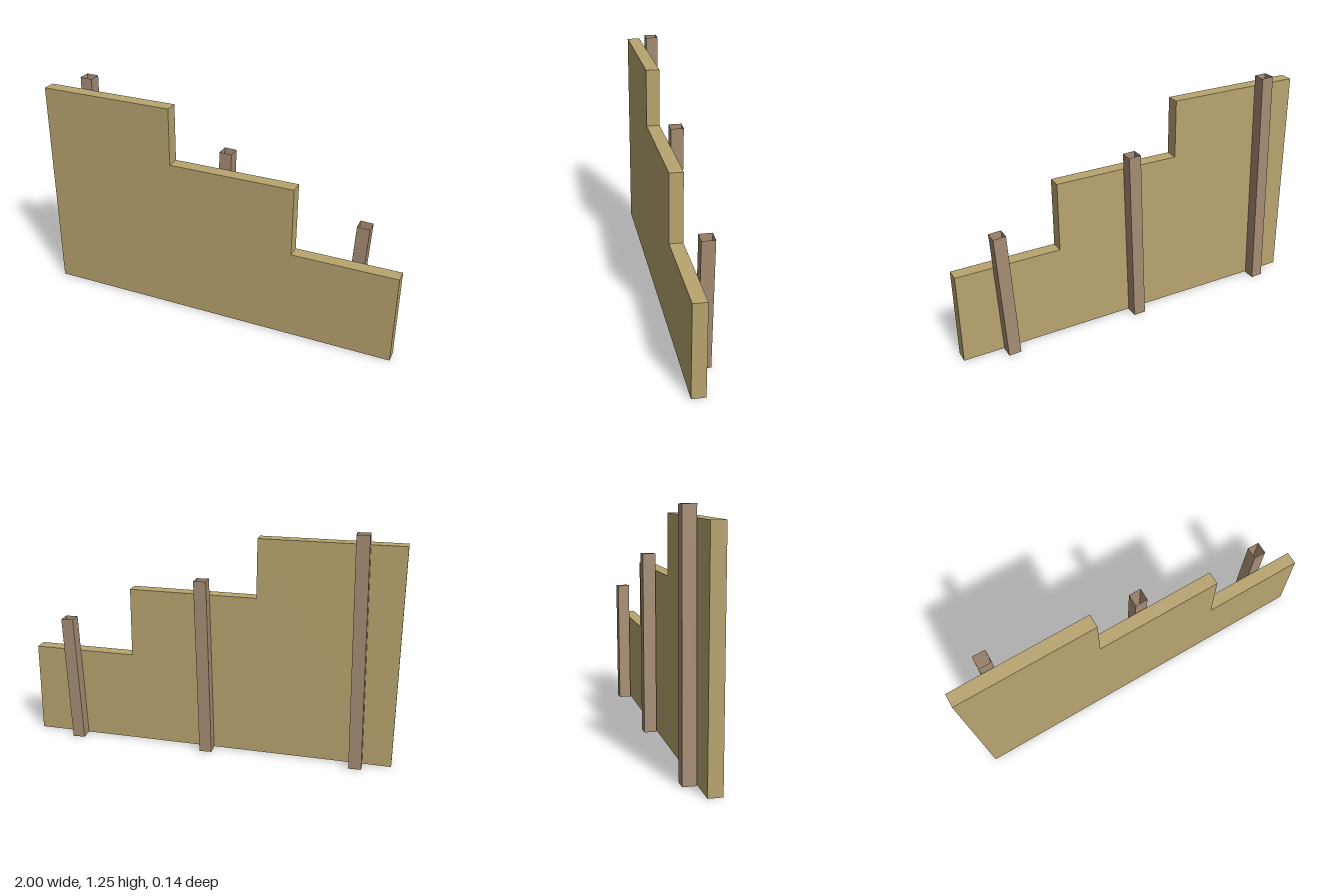
import * as THREE from 'three';

const boardPaint = new THREE.MeshStandardMaterial({ color: 0xb8a46f });
boardPaint.name = 'tan board';
const postWood = new THREE.MeshStandardMaterial({ color: 0xa68d74, side: THREE.DoubleSide });
postWood.name = 'brown post';

// Hollow square post, open at both ends, leaning sideways about its base
function createPost(name, x, topY, lean) {
  const width = 0.067, height = topY;
  const geometry = new THREE.CylinderGeometry(
    width / Math.SQRT2, width / Math.SQRT2, height, 4, 1, true
  ).rotateY(Math.PI / 4).translate(0, height / 2, 0).toNonIndexed();
  geometry.computeVertexNormals();
  const post = new THREE.Mesh(geometry, postWood);
  post.name = name;
  post.position.set(x, 0.0015, -0.038);
  post.rotation.z = -lean;
  return post;
}

export function createModel() {
  const model = new THREE.Group();
  model.name = 'steppedFence';

  // Board with two steps down towards +x
  const outline = new THREE.Shape([
    [-1, 0.002], [1, 0.002], [1, 0.502], [0.435, 0.502],
    [0.435, 0.877], [-0.255, 0.877], [-0.255, 1.191], [-1, 1.191],
  ].map(([x, y]) => new THREE.Vector2(x, y)));
  const board = new THREE.Mesh(
    new THREE.ExtrudeGeometry(outline, { depth: 0.072, bevelEnabled: false }), boardPaint
  );
  board.name = 'steppedBoard';
  board.position.z = 0.001;
  model.add(board);

  // Leaning support posts behind the board
  model.add(createPost('tallPost', -0.815, 1.25, 0.025));
  model.add(createPost('middlePost', -0.001, 0.965, 0.032));
  model.add(createPost('shortPost', 0.747, 0.701, 0.046));
  return model;
}
